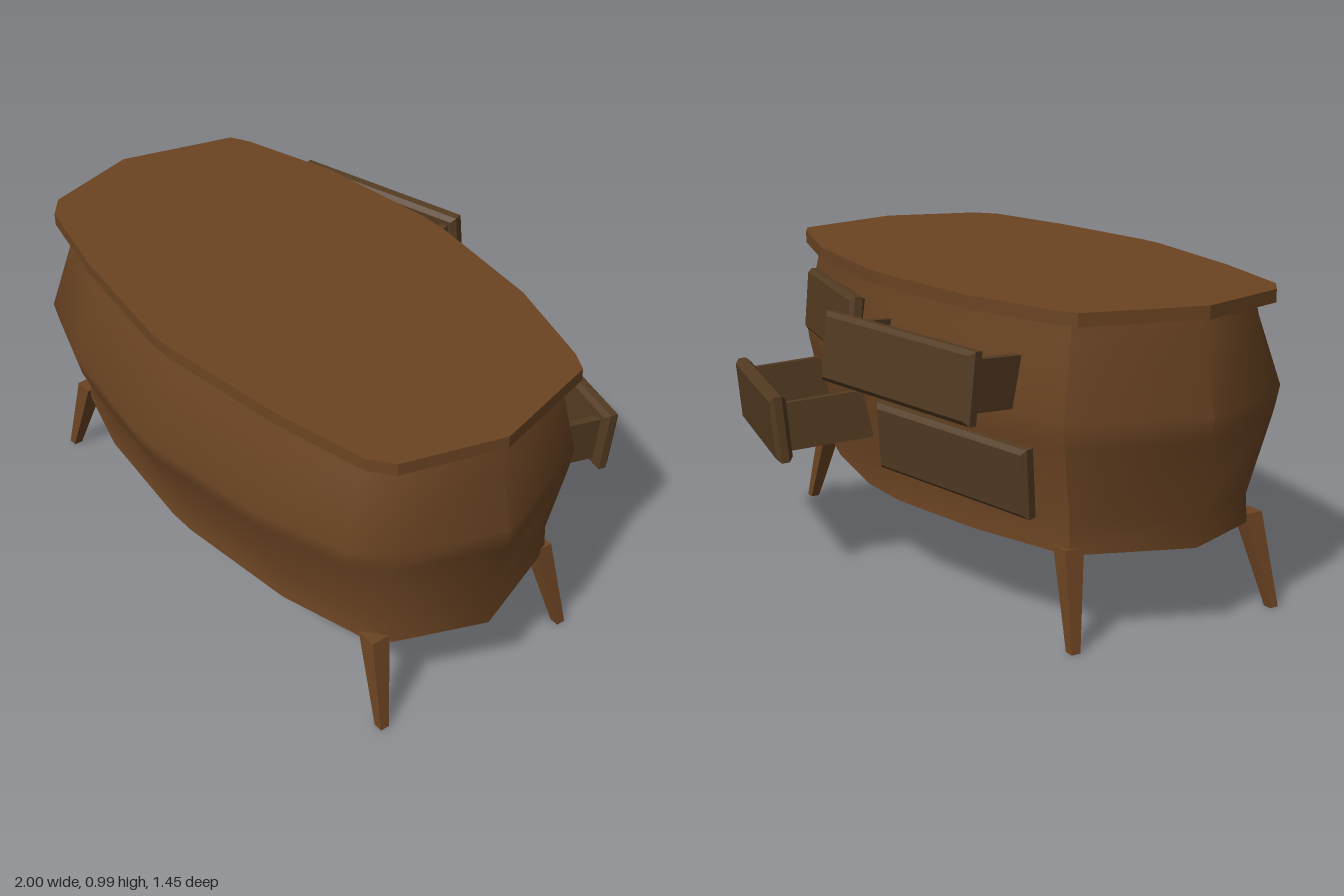
import * as THREE from 'three';
import { toCreasedNormals } from 'three/addons/utils/BufferGeometryUtils.js';

const wood = new THREE.MeshStandardMaterial({ color: 0x6b4423 });
wood.name = 'warmWood';
const darkWood = new THREE.MeshStandardMaterial({ color: 0x533b22 });
darkWood.name = 'drawerWood';

// Half outlines as [x, z], from front centre round the side to back centre
const NARROW = [[0.05, 0.59], [0.47, 0.545], [0.74, 0.47], [0.82, 0.41], [0.93, 0.14], [0.8, -0.21], [0.45, -0.32], [0.1, -0.385]];
const WIDE = [[0.05, 0.72], [0.48, 0.66], [0.78, 0.56], [0.87, 0.47], [1.0, 0.14], [0.84, -0.26], [0.47, -0.37], [0.12, -0.44]];
const TOP = [[0.05, 0.635], [0.48, 0.58], [0.8, 0.51], [0.87, 0.455], [0.965, 0.14], [0.865, -0.235], [0.8, -0.27], [0.47, -0.37], [0.05, -0.42]];
// Height and amount of bulge for each ring of the body
const LEVELS = [[0.27, 0.08], [0.36, 0], [0.6, 0.85], [0.67, 1], [0.89, 0.23], [0.95, 0.1]];

const mirrorOutline = (half) => [...half, ...half.map(([x, z]) => [-x, z]).reverse()];

function add(parent, name, geometry, material, x = 0, y = 0, z = 0) {
  const mesh = new THREE.Mesh(geometry, material);
  mesh.name = name;
  mesh.position.set(x, y, z);
  parent.add(mesh);
  return mesh;
}

// Loft between rings of equal point count, closed at both ends
function loft(rings) {
  const n = rings[0].length;
  const positions = rings.flat(2);
  const index = [];
  for (let r = 0; r < rings.length - 1; r++) {
    for (let i = 0; i < n; i++) {
      const a = r * n + i, b = r * n + (i + 1) % n;
      index.push(a, b, b + n, a, b + n, a + n);
    }
  }
  const last = (rings.length - 1) * n;
  for (let i = 1; i < n - 1; i++) {
    index.push(0, i + 1, i, last, last + i, last + i + 1);
  }
  const geometry = new THREE.BufferGeometry();
  geometry.setAttribute('position', new THREE.Float32BufferAttribute(positions, 3));
  geometry.setIndex(index);
  return toCreasedNormals(geometry, 0.82);
}

// Tapered square leg, splayed outwards
function legGeometry(sx, top, foot) {
  const ring = ([x, y, z, h]) =>
    [[-h, h], [h, h], [h, -h], [-h, -h]].map(([dx, dz]) => [sx * x + dx, y, z + dz]);
  return loft([ring(foot), ring(top)]);
}

// Bevelled front panel with an open-topped tray; the outside faces -z
function makeDrawer(name) {
  const drawer = new THREE.Group();
  drawer.name = name;
  const w = 0.62, h = 0.185, b = 0.014;
  const shape = new THREE.Shape([[-w / 2, -h / 2], [w / 2, -h / 2], [w / 2, h / 2], [-w / 2, h / 2]]
    .map(([x, y]) => new THREE.Vector2(x, y)));
  const panel = new THREE.ExtrudeGeometry(shape, {
    depth: 0.025, bevelEnabled: true, bevelSize: b, bevelThickness: b, bevelSegments: 1,
  });
  add(drawer, 'drawerFront', panel, darkWood, 0, 0, b);
  const depth = 0.4, zc = 0.05 + depth / 2;
  for (const s of [-1, 1]) {
    add(drawer, 'drawerSide', new THREE.BoxGeometry(0.025, 0.155, depth), darkWood, s * 0.285, 0, zc);
  }
  add(drawer, 'drawerBack', new THREE.BoxGeometry(0.55, 0.155, 0.025), darkWood, 0, 0, 0.05 + depth - 0.0125);
  add(drawer, 'drawerFloor', new THREE.BoxGeometry(0.55, 0.02, depth - 0.025), darkWood, 0, -0.0675, zc - 0.0125);
  return drawer;
}

export function createModel() {
  const model = new THREE.Group();
  model.name = 'dresser';

  // Bulging body
  const narrow = mirrorOutline(NARROW), wide = mirrorOutline(WIDE);
  const rings = LEVELS.map(([y, t]) => narrow.map(([x, z], i) =>
    [x + (wide[i][0] - x) * t, y, z + (wide[i][1] - z) * t]));
  add(model, 'body', loft(rings), wood);

  // Overhanging top
  const topShape = new THREE.Shape(mirrorOutline(TOP).map(([x, z]) => new THREE.Vector2(x, -z)));
  const top = new THREE.ExtrudeGeometry(topShape, { depth: 0.04, bevelEnabled: false });
  top.rotateX(-Math.PI / 2);
  add(model, 'topBoard', top, wood, 0, 0.95, 0);

  // Legs
  for (const s of [-1, 1]) {
    add(model, 'frontLeg', legGeometry(s, [0.78, 0.29, 0.45, 0.032], [0.867, 0, 0.487, 0.015]), wood);
    add(model, 'backLeg', legGeometry(s, [0.78, 0.29, -0.2, 0.032], [0.867, 0, -0.237, 0.015]), wood);
  }

  // Drawers: side, height, outer face z, pitch
  const drawers = [
    ['upperLeftDrawer', 1, 0.777, -0.385, 0.09],
    ['lowerLeftDrawer', 1, 0.485, -0.65, -0.09],
    ['upperRightDrawer', -1, 0.787, -0.57, 0.09],
    ['lowerRightDrawer', -1, 0.48, -0.39, -0.09],
  ];
  for (const [name, s, y, z, pitch] of drawers) {
    const drawer = makeDrawer(name);
    drawer.position.set(s * 0.41, y, z);
    drawer.rotation.set(pitch, -0.23 * s, -0.03 * s, 'YXZ');
    model.add(drawer);
  }
  return model;
}
